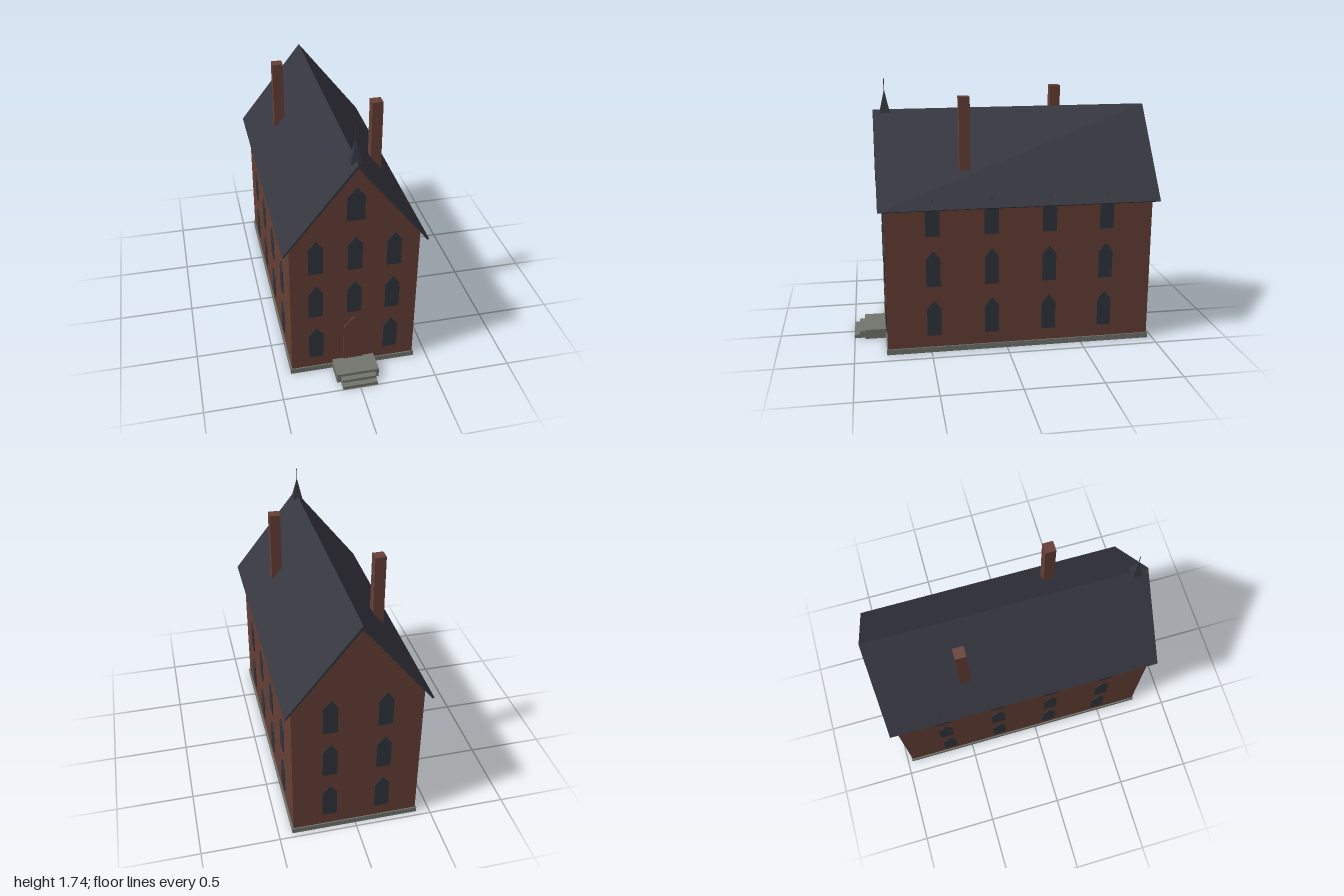
import * as THREE from 'three';

const material = (name, color) => {
  const m = new THREE.MeshStandardMaterial({ color });
  m.name = name;
  return m;
};

export function createModel() {
  const brick = material('brick', 0x663f36);
  const slate = material('slate', 0x35363f);
  const glass = material('window glass', 0x30343c);
  const stone = material('stone', 0x71756d);

  const house = new THREE.Group();
  house.name = 'house';

  const add = (name, geometry, mat, x = 0, y = 0, z = 0, parent = house) => {
    const mesh = new THREE.Mesh(geometry, mat);
    mesh.name = name;
    mesh.position.set(x, y, z);
    parent.add(mesh);
    return mesh;
  };
  // Box given by its lower and upper corners
  const block = (name, mat, [x0, y0, z0], [x1, y1, z1]) =>
    add(name, new THREE.BoxGeometry(x1 - x0, y1 - y0, z1 - z0), mat,
      (x0 + x1) / 2, (y0 + y1) / 2, (z0 + z1) / 2);
  const extrude = (points, depth) => new THREE.ExtrudeGeometry(
    new THREE.Shape(points.map(([x, y]) => new THREE.Vector2(x, y))),
    { depth, bevelEnabled: false });
  // Upright panel with a pointed head, standing on y = 0
  const pointed = (width, shoulder, height, depth) => extrude([
    [-width / 2, 0], [width / 2, 0], [width / 2, shoulder],
    [0, height], [-width / 2, shoulder]], depth);

  // Gabled brick body on a stone plinth
  const W = 0.405, FRONT = 0.783, BACK = -0.96;
  add('walls', extrude([[-W, 0.02], [W, 0.02], [W, 1.0], [0, 1.517], [-W, 1.0]],
    FRONT - BACK), brick, 0, 0, BACK);
  block('plinth', stone, [-0.414, 0, -0.968], [0.414, 0.036, 0.791]);

  // Thin pitched roof with overhanging eaves
  add('roof', extrude([[0.45, 0.972], [0, 1.543], [-0.45, 0.972],
    [-0.441, 0.965], [0, 1.517], [0.441, 0.965]], 1.82), slate, 0, 0, -1);

  // Pointed windows on all four sides
  const windows = new THREE.Group();
  windows.name = 'windows';
  house.add(windows);
  const T = 0.008;
  const windowShape = pointed(0.092, 0.183, 0.24, T);
  const addWindow = (x, y, z, turn) => {
    add('window', windowShape, glass, x, y, z, windows).rotation.y = turn;
  };
  [0.117, 0.454, 0.791].forEach((y, row) => {
    for (const x of [-0.245, 0, 0.245]) {
      if (row > 0 || x !== 0) addWindow(x, y, FRONT - 0.002, 0);
    }
    for (const x of [-0.17, 0.17]) addWindow(x, y, BACK + 0.002, Math.PI);
    for (const side of [-1, 1]) {
      for (const z of [0.48, 0.102, -0.276, -0.654]) {
        addWindow(side * (W - 0.002), y, z, side * Math.PI / 2);
      }
    }
  });
  add('gableWindow', pointed(0.11, 0.163, 0.225, T), glass, 0, 1.15, FRONT - 0.002, windows);

  // Brick door with a pointed head
  add('door', pointed(0.126, 0.275, 0.35, T), brick, 0, 0.06, FRONT);

  // Landing and two steps
  block('landing', stone, [-0.138, 0, 0.77], [0.138, 0.065, 0.93]);
  block('upperStep', stone, [-0.113, 0, 0.92], [0.113, 0.045, 0.965]);
  block('lowerStep', stone, [-0.113, 0, 0.96], [0.113, 0.024, 1.0]);

  // Two staggered chimneys
  for (const [x, z] of [[0.253, 0.256], [-0.253, -0.44]]) {
    block('chimney', brick, [x - 0.035, 1.183, z - 0.035], [x + 0.035, 1.65, z + 0.035]);
  }

  // Small square spire with a thin finial
  const spire = new THREE.ConeGeometry(0.033 * Math.SQRT2, 0.15, 4, 1).rotateY(Math.PI / 4).toNonIndexed();
  spire.computeVertexNormals();
  add('spire', spire, slate, 0, 1.597, 0.742);
  add('finial', new THREE.CylinderGeometry(0.0025, 0.0025, 0.1, 6), slate, 0, 1.69, 0.742);

  return house;
}
